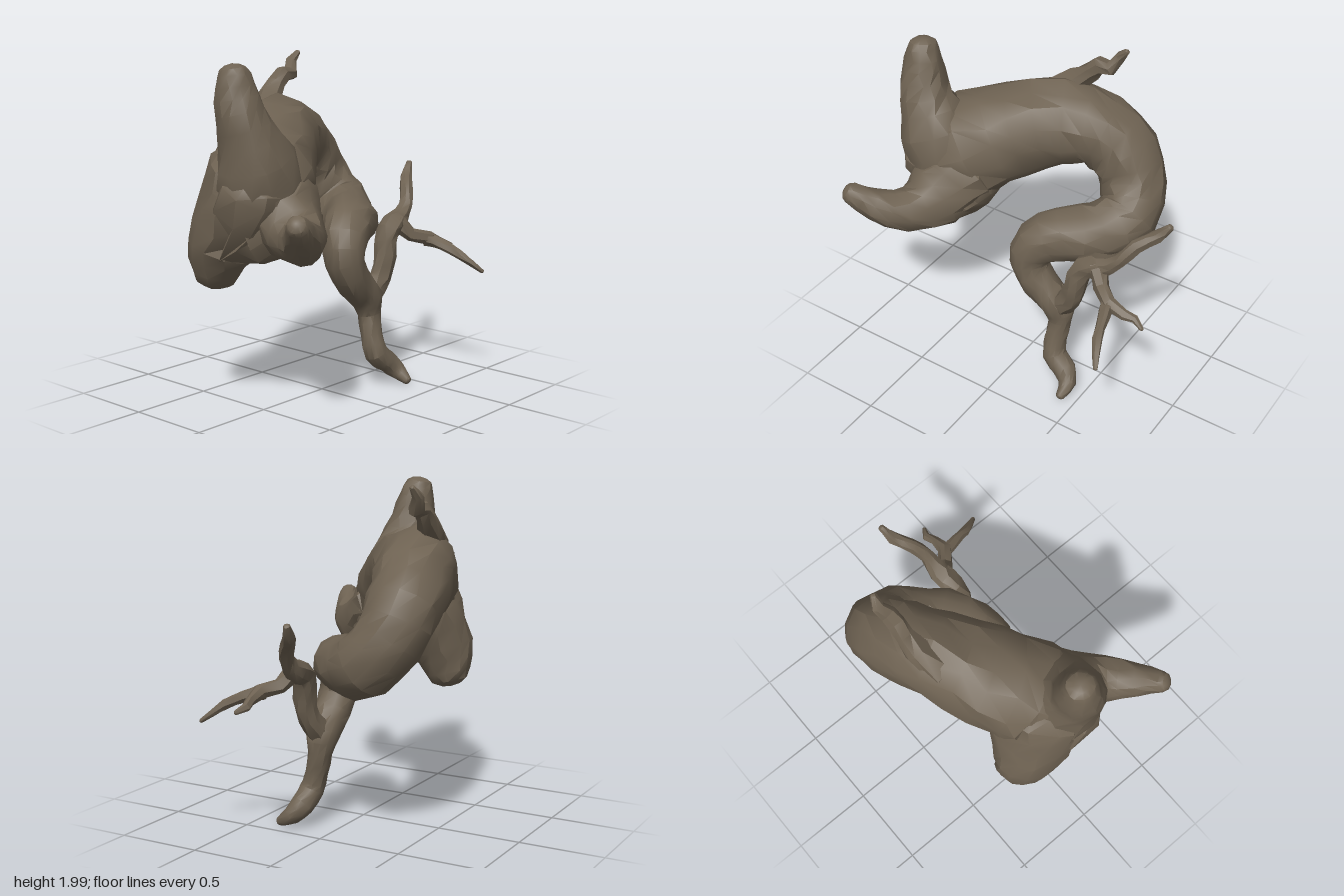
import * as THREE from 'three';
import { toCreasedNormals } from 'three/addons/utils/BufferGeometryUtils.js';

const bark = new THREE.MeshStandardMaterial({ color: 0x6e6252 });
bark.name = 'weathered brown bark';

// Repeatable noise in -1..1
const noise = (a, b, c) => {
  const s = Math.sin(a * 127.1 + b * 311.7 + c * 74.7) * 43758.5453;
  return (s - Math.floor(s)) * 2 - 1;
};

// Rings along a curve through stations [x, y, z, radius], with a dome at each end
function makeRings(stations, perSpan) {
  const curve = new THREE.CatmullRomCurve3(stations.map(s => new THREE.Vector3(s[0], s[1], s[2])));
  const spans = stations.length - 1, steps = spans * perSpan;
  const rings = [];
  for (let i = 0; i <= steps; i++) {
    const t = i / steps, u = t * spans, k = Math.min(Math.floor(u), spans - 1);
    const r = THREE.MathUtils.lerp(stations[k][3], stations[k + 1][3], u - k);
    rings.push({ p: curve.getPoint(t), d: curve.getTangent(t), r });
  }
  const dome = (ring, sign) => [[0.4, 0.8], [0.62, 0.45], [0.7, 0]].map(([out, scale]) => ({
    p: ring.p.clone().addScaledVector(ring.d, sign * ring.r * out), d: ring.d, r: ring.r * scale,
  }));
  return [...dome(rings[0], -1).reverse(), ...rings, ...dome(rings[steps], 1)];
}

// Distance from a point to the skin of a limb
const nearest = new THREE.Vector3(), line = new THREE.Line3();
function skinDistance(v, rings) {
  let best = Infinity;
  for (let i = 3; i < rings.length - 4; i++) {
    const a = rings[i], b = rings[i + 1];
    const t = line.set(a.p, b.p).closestPointToPointParameter(v, true);
    best = Math.min(best, line.at(t, nearest).distanceTo(v) - THREE.MathUtils.lerp(a.r, b.r, t));
  }
  return best;
}

// Gnarled skin over the rings, swelling softly where it meets another limb
function buildLimb({ name, sides, rough, rings }, others, seed) {
  const pos = [], index = [];
  const n = Math.abs(rings[0].d.y) < 0.8 ? new THREE.Vector3(0, 1, 0) : new THREE.Vector3(0, 0, 1);
  rings.forEach((ring, i) => {
    n.addScaledVector(ring.d, -n.dot(ring.d)).normalize();
    const b = new THREE.Vector3().crossVectors(ring.d, n);
    const reach = Math.min(0.15, ring.r);
    for (let j = 0; j < sides; j++) {
      const a = (j + 0.3 * noise(i, j, seed + 5)) / sides * Math.PI * 2;
      const out = n.clone().multiplyScalar(Math.cos(a)).addScaledVector(b, Math.sin(a));
      const v = ring.p.clone().addScaledVector(out, ring.r * (1.02 + rough * noise(i, j, seed)));
      if (reach > 0) {
        const gap = Math.min(...others.map(o => Math.abs(skinDistance(v, o.rings))));
        v.addScaledVector(out, reach * 0.25 * Math.max(1 - gap / reach, 0) ** 2);
      }
      pos.push(v.x, v.y, v.z);
      if (i < rings.length - 1) {
        const k = i * sides + j, m = i * sides + (j + 1) % sides;
        index.push(k, m, m + sides, k, m + sides, k + sides);
      }
    }
  });
  const geo = new THREE.BufferGeometry();
  geo.setAttribute('position', new THREE.Float32BufferAttribute(pos, 3));
  geo.setIndex(index);
  const mesh = new THREE.Mesh(toCreasedNormals(geo, 0.6), bark);
  mesh.name = name;
  return mesh;
}

export function createModel() {
  const limbs = [];
  const limb = (name, sides, perSpan, rough, stations) =>
    limbs.push({ name, sides, rough, rings: makeRings(stations, perSpan) });

  // Thick trunk arching over, curling under and tapering to a crooked foot
  limb('trunk', 14, 2, 0.05, [
    [-0.58, 1.25, 0.01, 0.23], [-0.44, 1.34, -0.04, 0.275], [-0.24, 1.43, -0.19, 0.27],
    [0, 1.49, -0.33, 0.235], [0.2, 1.45, -0.415, 0.215], [0.345, 1.34, -0.44, 0.205],
    [0.43, 1.18, -0.4, 0.19], [0.465, 1.04, -0.28, 0.185], [0.37, 0.99, -0.12, 0.165],
    [0.21, 0.99, 0.02, 0.15], [0.09, 0.92, 0.1, 0.135], [0.06, 0.79, 0.13, 0.115],
    [0.14, 0.66, 0.13, 0.105], [0.25, 0.55, 0.125, 0.085], [0.28, 0.44, 0.13, 0.068],
    [0.27, 0.32, 0.16, 0.065], [0.28, 0.21, 0.19, 0.07], [0.36, 0.14, 0.205, 0.068],
    [0.41, 0.08, 0.25, 0.052], [0.41, 0.035, 0.325, 0.028],
  ]);

  // Three blunt stumps at the heavy end
  limb('upperStump', 12, 2, 0.05, [
    [-0.56, 1.28, 0.05, 0.22], [-0.63, 1.46, 0.09, 0.185], [-0.695, 1.64, 0.07, 0.145],
    [-0.72, 1.8, 0.04, 0.12], [-0.73, 1.92, 0.025, 0.09],
  ]);
  limb('frontStump', 12, 2, 0.05, [
    [-0.48, 1.2, 0.08, 0.22], [-0.52, 1.1, 0.25, 0.17], [-0.61, 1.06, 0.41, 0.13],
    [-0.75, 1.12, 0.53, 0.092], [-0.86, 1.2, 0.6, 0.06],
  ]);
  limb('lowerStump', 12, 2, 0.05, [
    [-0.54, 1.34, -0.03, 0.23], [-0.58, 1.15, -0.13, 0.215], [-0.62, 0.95, -0.215, 0.18],
    [-0.62, 0.8, -0.25, 0.135],
  ]);

  // Swelling that webs the crotch between the stumps
  limb('crotchSwelling', 10, 2, 0.04, [
    [-0.63, 1.3, 0.1, 0.17], [-0.62, 1.05, -0.04, 0.165], [-0.52, 1.1, 0.12, 0.18],
    [-0.4, 1.2, 0.06, 0.18],
  ]);

  // Broken twig on top of the arch
  limb('topTwig', 7, 1, 0.12, [
    [-0.11, 1.62, -0.38, 0.08], [0.01, 1.73, -0.44, 0.065], [0.1, 1.8, -0.45, 0.055],
    [0.15, 1.86, -0.45, 0.05], [0.22, 1.86, -0.45, 0.045], [0.26, 1.93, -0.48, 0.035],
    [0.305, 1.98, -0.47, 0.018],
  ]);

  // Side branch rising from the foot, then forking into thin twigs
  limb('sideBranch', 8, 2, 0.08, [
    [0.27, 0.55, 0.13, 0.065], [0.36, 0.66, 0.15, 0.065], [0.395, 0.79, 0.16, 0.065],
    [0.44, 0.93, 0.14, 0.065], [0.55, 0.97, 0.12, 0.06], [0.65, 1.05, 0.11, 0.042],
    [0.72, 1.15, 0.06, 0.04], [0.81, 1.21, -0.01, 0.036], [0.87, 1.28, -0.035, 0.02],
  ]);
  limb('forkTwig', 7, 1, 0.1, [
    [0.53, 0.97, 0.13, 0.05], [0.59, 0.89, 0.2, 0.045], [0.68, 0.86, 0.27, 0.038],
    [0.78, 0.83, 0.27, 0.03], [0.84, 0.81, 0.25, 0.025], [0.9, 0.79, 0.28, 0.012],
  ]);
  limb('forwardTwig', 7, 2, 0.1, [
    [0.67, 0.86, 0.26, 0.036], [0.7, 0.83, 0.36, 0.032], [0.73, 0.78, 0.47, 0.028],
    [0.795, 0.685, 0.59, 0.013],
  ]);

  const root = new THREE.Group();
  root.name = 'twistedRoot';
  limbs.forEach((l, i) => root.add(buildLimb(l, limbs.filter(o => o !== l), i + 1)));
  return root;
}
